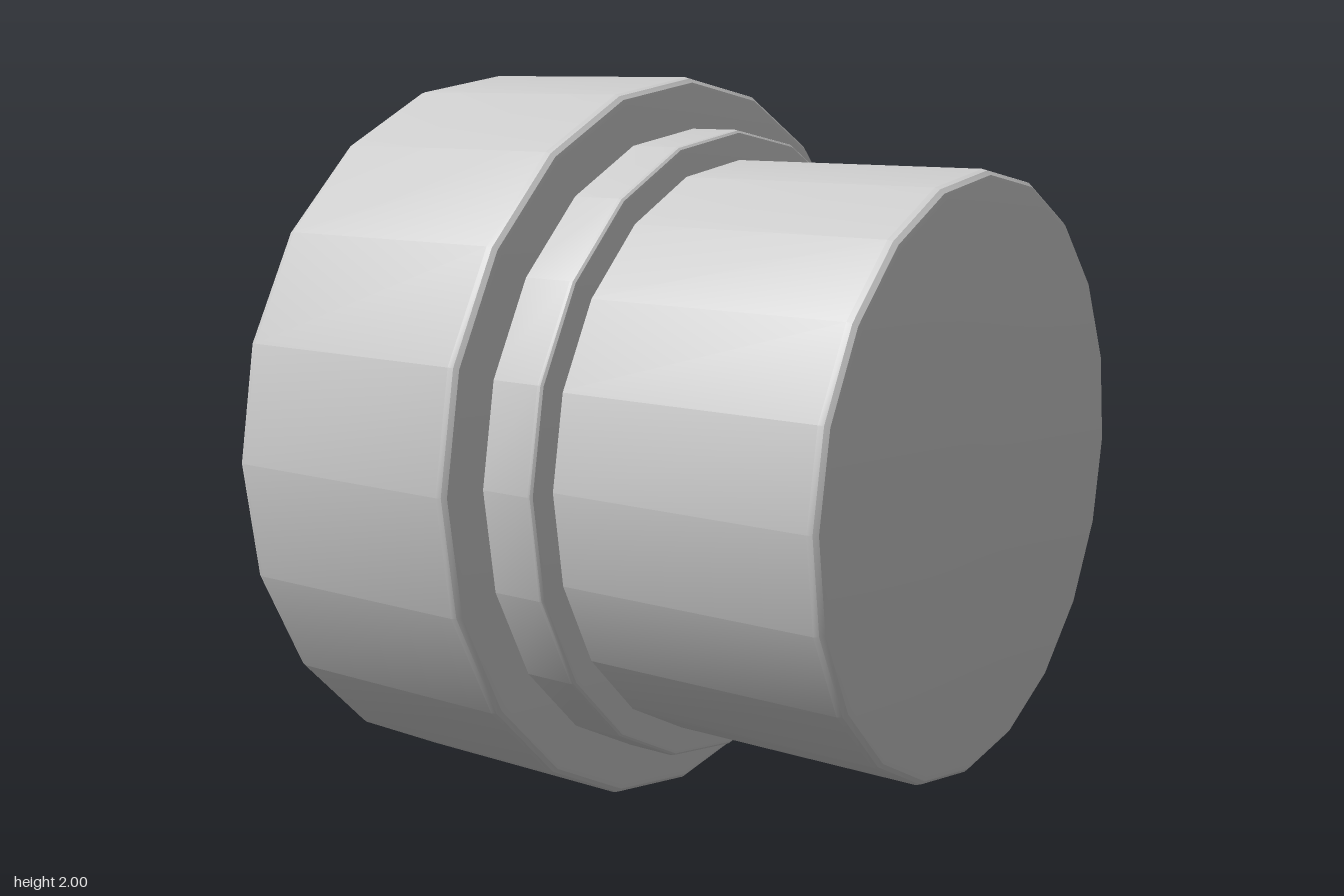
import * as THREE from 'three';
import { toCreasedNormals } from 'three/addons/utils/BufferGeometryUtils.js';

const SIDES = 20;

// Closed disc with rounded rims, lying along +y from start to end
function roundedDisc(name, radius, start, end, bevel) {
  const points = [new THREE.Vector2(0, start)];
  const steps = 3;
  for (let i = 0; i <= steps; i++) {
    const a = (i / steps) * Math.PI / 2;
    points.push(new THREE.Vector2(radius - bevel * (1 - Math.sin(a)), start + bevel * (1 - Math.cos(a))));
  }
  for (let i = steps; i >= 0; i--) {
    const a = (i / steps) * Math.PI / 2;
    points.push(new THREE.Vector2(radius - bevel * (1 - Math.sin(a)), end - bevel * (1 - Math.cos(a))));
  }
  points.push(new THREE.Vector2(0, end));
  const geometry = toCreasedNormals(new THREE.LatheGeometry(points, SIDES), 0.4);
  const mesh = new THREE.Mesh(geometry, new THREE.MeshStandardMaterial({ color: 0xcccccc }));
  mesh.name = name;
  return mesh;
}

export function createModel() {
  const model = new THREE.Group();
  model.name = 'steppedPlug';

  // All three steps share one slightly tilted axis
  const body = new THREE.Group();
  body.name = 'tiltedBody';
  body.add(
    roundedDisc('head', 0.988, -0.806, -0.088, 0.028),
    roundedDisc('collar', 0.852, -0.13, 0.064, 0.015),
    roundedDisc('shaft', 0.773, 0.02, 0.808, 0.028),
  );
  const axis = new THREE.Vector3(1, -0.033, 0.026).normalize();
  body.quaternion.setFromUnitVectors(new THREE.Vector3(0, 1, 0), axis);
  body.position.set(0, 0.986, 0.012);
  model.add(body);
  return model;
}
